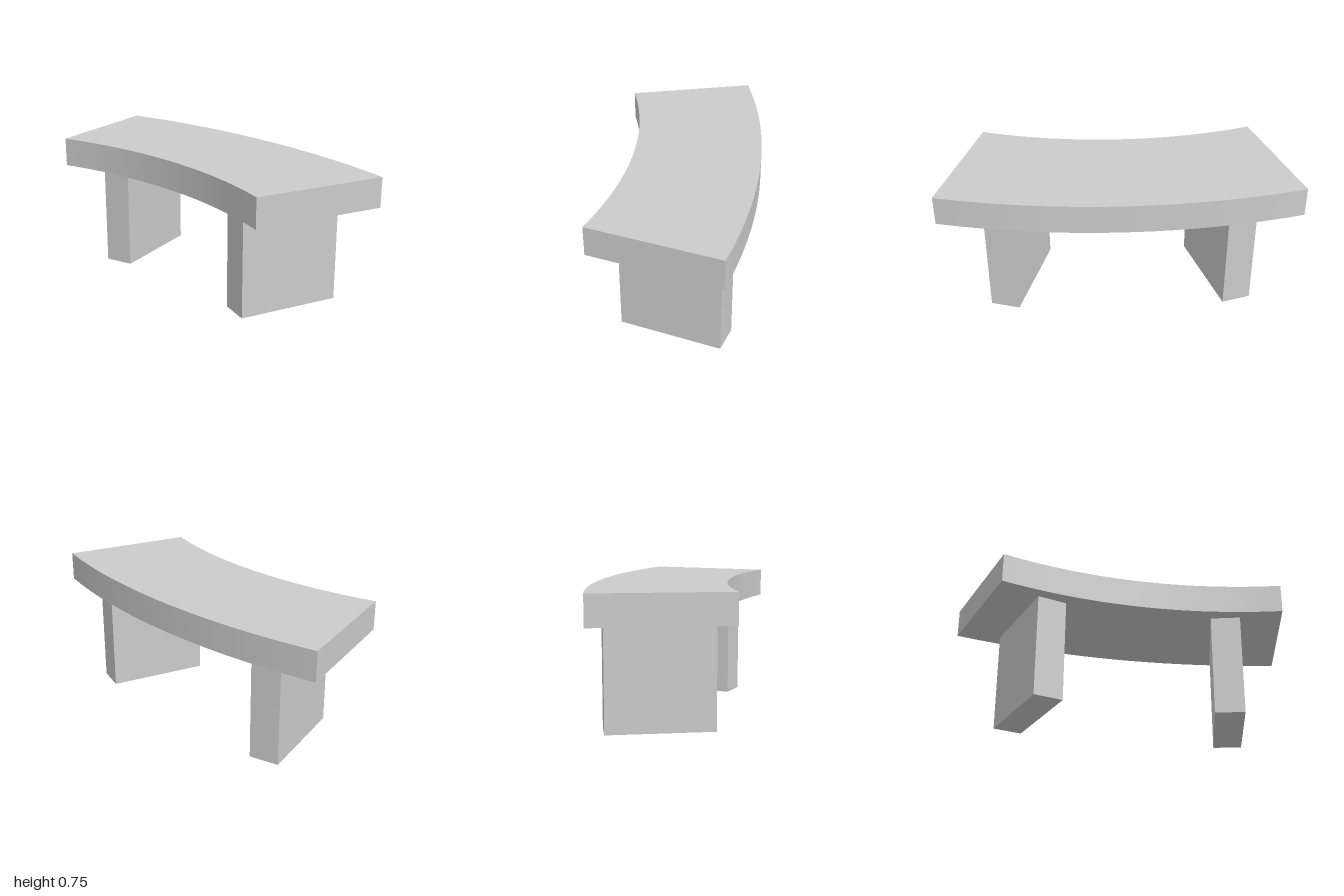
import * as THREE from 'three';

const SEAT_TOP = 0.75;
const SEAT_BOTTOM = 0.585;

// Adds an arc bulging towards the back, given its half chord, middle and end depth.
function addArc(shape, halfChord, zMiddle, zEnd, reversed) {
  const sag = zEnd - zMiddle;
  const radius = (halfChord * halfChord + sag * sag) / (2 * sag);
  const half = Math.asin(halfChord / radius) * (reversed ? -1 : 1);
  const mid = -Math.PI / 2;
  shape.absarc(0, zMiddle + radius, radius, mid - half, mid + half, reversed);
}

export function createModel() {
  const model = new THREE.Group();
  model.name = 'curvedBench';
  const material = new THREE.MeshStandardMaterial({ color: 0xcccccc });

  // Curved seat slab: plan outline extruded downwards
  const outline = new THREE.Shape();
  addArc(outline, 1, -0.423, -0.298, false);
  addArc(outline, 0.793, 0.293, 0.418, true);
  outline.closePath();
  const seatGeometry = new THREE.ExtrudeGeometry(outline, {
    depth: SEAT_TOP - SEAT_BOTTOM,
    bevelEnabled: false,
    curveSegments: 32,
  });
  seatGeometry.rotateX(Math.PI / 2);
  const seat = new THREE.Mesh(seatGeometry, material);
  seat.name = 'seat';
  seat.position.y = SEAT_TOP;
  model.add(seat);

  // Two slab legs, splayed to follow the seat ends
  const legGeometry = new THREE.BoxGeometry(0.168, SEAT_BOTTOM, 0.583);
  for (const side of [1, -1]) {
    const leg = new THREE.Mesh(legGeometry, material);
    leg.name = side > 0 ? 'leftLeg' : 'rightLeg';
    leg.position.set(side * 0.585, SEAT_BOTTOM / 2, -0.013);
    leg.rotation.y = -side * 0.288;
    model.add(leg);
  }

  return model;
}
